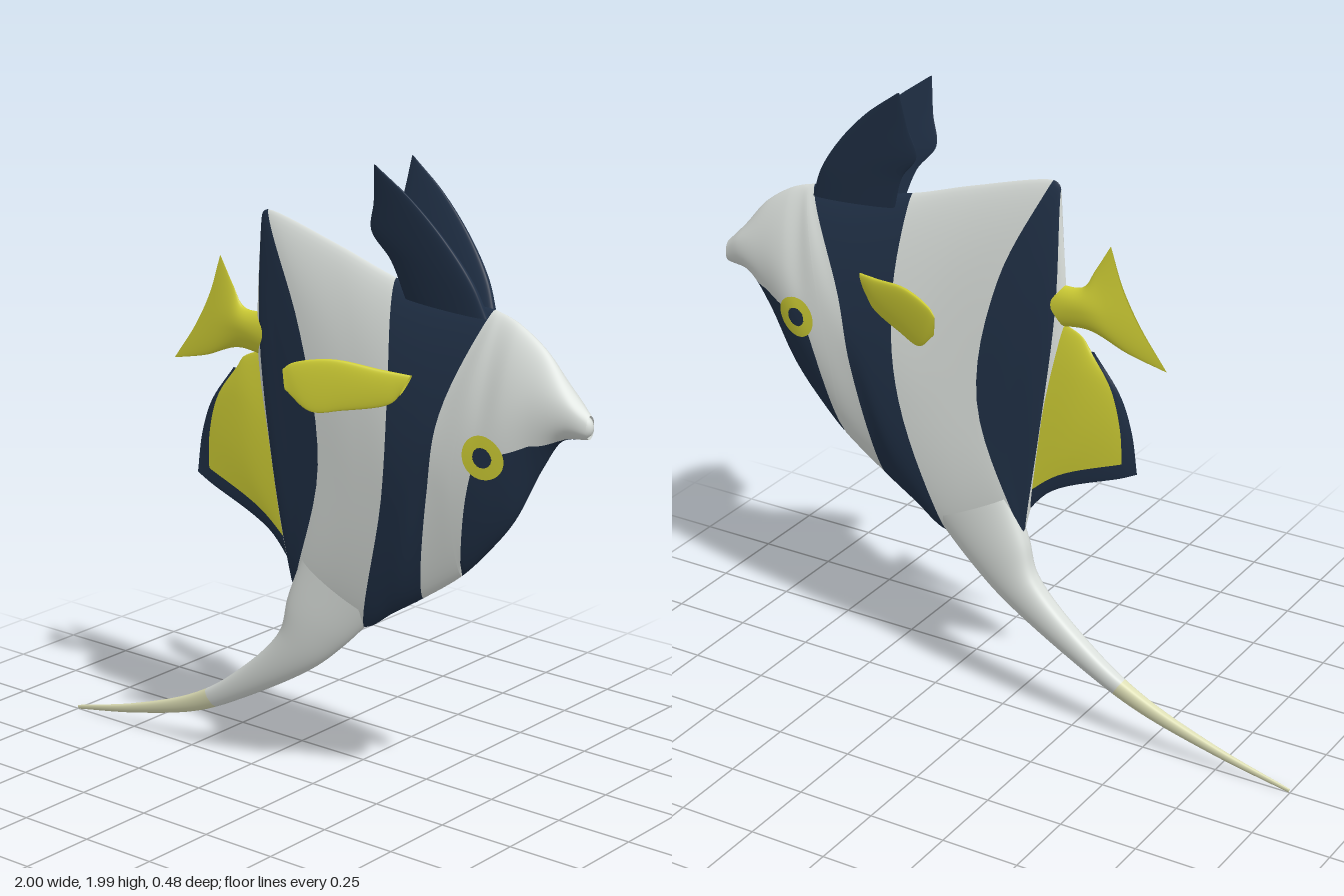
import * as THREE from 'three';

const paint = (name, color) => {
  const m = new THREE.MeshStandardMaterial({ color, side: THREE.DoubleSide });
  m.name = name;
  return m;
};

// Columns run down the model: [halfThickness, [x, y], [x, y], ...].
// Returns point(s, v): s counts columns, v goes 0 to 1 along a column, z is the half thickness.
function surface(cols) {
  const vec = (x, y, z) => new THREE.Vector3(x, y, z);
  const rails = cols[0].slice(1).map((_, r) =>
    new THREE.CatmullRomCurve3(cols.map(c => vec(c[r + 1][0], c[r + 1][1], c[0]))));
  return (s, v) => {
    const across = rails.map(r => r.getPoint(s / (cols.length - 1)));
    const p = new THREE.CatmullRomCurve3(across).getPoint(v);
    p.z = Math.max(0, p.z) * Math.pow(Math.max(0, Math.sin(Math.PI * v)), 0.6);
    return p;
  };
}

// Two-sided lens-like skin over part of a surface; offset bends its middle plane in z.
function patch(name, mat, point, [s0, s1], lo = 0, hi = 1, offset = () => 0) {
  const at = (f, s) => (typeof f === 'function' ? f(s) : f);
  const ns = Math.max(4, Math.ceil((s1 - s0) * 8)), nv = 28;
  const pos = [], idx = [];
  for (const side of [1, -1]) {
    const base = pos.length / 3;
    for (let i = 0; i <= ns; i++) {
      const s = s0 + (s1 - s0) * i / ns, a = at(lo, s), b = at(hi, s);
      for (let j = 0; j <= nv; j++) {
        const p = point(s, a + (b - a) * (1 - Math.cos(Math.PI * j / nv)) / 2);
        pos.push(p.x, p.y, offset(p) + side * p.z);
      }
    }
    for (let i = 0; i < ns; i++) for (let j = 0; j < nv; j++) {
      const a = base + i * (nv + 1) + j, b = a + nv + 1;
      if (side > 0) idx.push(a, b, a + 1, b, b + 1, a + 1);
      else idx.push(a, a + 1, b, b, a + 1, b + 1);
    }
  }
  const g = new THREE.BufferGeometry();
  g.setAttribute('position', new THREE.Float32BufferAttribute(pos, 3));
  g.setIndex(idx);
  g.computeVertexNormals();
  const mesh = new THREE.Mesh(g, mat);
  mesh.name = name;
  return mesh;
}

export function createModel() {
  const fish = new THREE.Group();
  fish.name = 'fish';
  const white = paint('white', 0xdbe0dc), navy = paint('navy', 0x203046);
  const yellow = paint('yellow', 0xd0cf35), cream = paint('cream', 0xdedfb6);

  // Body: columns follow the stripe edges from mouth to back
  const body = surface([
    [0.02, [0.99, 1.36], [0.99, 1.34], [0.99, 1.31], [0.99, 1.29]],
    [0.042, [0.92, 1.43], [0.93, 1.38], [0.92, 1.32], [0.90, 1.27]],
    [0.062, [0.84, 1.52], [0.83, 1.40], [0.82, 1.28], [0.83, 1.17]],
    [0.08, [0.75, 1.58], [0.74, 1.38], [0.73, 1.20], [0.74, 1.00]],
    [0.085, [0.70, 1.60], [0.67, 1.33], [0.64, 1.10], [0.65, 0.89]],
    [0.088, [0.68, 1.605], [0.62, 1.35], [0.57, 1.07], [0.56, 0.80]],
    [0.09, [0.66, 1.61], [0.53, 1.30], [0.49, 1.07], [0.42, 0.70]],
    [0.09, [0.48, 1.62], [0.44, 1.30], [0.40, 0.98], [0.31, 0.63]],
    [0.086, [0.31, 1.65], [0.34, 1.32], [0.32, 1.00], [0.20, 0.56]],
    [0.073, [0.10, 1.715], [0.20, 1.37], [0.20, 1.00], [0.06, 0.58]],
    [0.055, [-0.17, 1.785], [-0.01, 1.45], [0.06, 1.05], [-0.07, 0.62]],
    [0.04, [-0.19, 1.775], [-0.11, 1.42], [-0.04, 1.02], [-0.075, 0.63]],
    [0.022, [-0.195, 1.76], [-0.19, 1.40], [-0.14, 1.00], [-0.08, 0.64]],
    [0, [-0.195, 1.74], [-0.215, 1.36], [-0.17, 1.00], [-0.085, 0.66]],
  ]);
  const chin = [1, 0.97, 0.75, 0.64, 0.6, 1];
  const chinEdge = s => {
    const i = Math.min(4, Math.floor(s));
    return chin[i] + (chin[i + 1] - chin[i]) * (s - i);
  };
  const head = patch('head', white, body, [0, 5], 0, chinEdge);
  const throat = patch('throatStripe', navy, body, [0, 5], chinEdge, 1);
  fish.add(head, throat,
    patch('cheek', white, body, [5, 6]),
    patch('middleStripe', navy, body, [6, 8]),
    patch('flank', white, body, [8, 10]),
    patch('rearStripe', navy, body, [10, 12]),
    patch('backEdge', white, body, [12, 13]));

  // Lips
  const lips = new THREE.Mesh(new THREE.SphereGeometry(0.035, 20, 14), white);
  lips.name = 'lips';
  lips.scale.z = 0.65;
  lips.position.set(0.965, 1.325, 0);
  fish.add(lips);

  // Long trailing streamer
  const streamer = surface([
    [0.045, [-0.03, 0.74], [0.24, 0.60]],
    [0.046, [-0.085, 0.60], [0.12, 0.48]],
    [0.04, [-0.12, 0.48], [0.00, 0.38]],
    [0.028, [-0.33, 0.28], [-0.28, 0.215]],
    [0.018, [-0.50, 0.175], [-0.47, 0.125]],
    [0.01, [-0.75, 0.08], [-0.74, 0.05]],
    [0.003, [-1.00, 0.012], [-0.995, 0.0]],
  ]);
  fish.add(patch('streamer', white, streamer, [0, 3.6]),
    patch('streamerTip', cream, streamer, [3.6, 6]));

  // Tail fin
  const tail = surface([
    [0.025, [-0.16, 1.47], [-0.16, 1.43], [-0.16, 1.38], [-0.16, 1.33]],
    [0.022, [-0.27, 1.475], [-0.275, 1.44], [-0.28, 1.40], [-0.29, 1.345]],
    [0.012, [-0.31, 1.535], [-0.34, 1.46], [-0.37, 1.39], [-0.42, 1.30]],
    [0.003, [-0.36, 1.62], [-0.40, 1.50], [-0.46, 1.39], [-0.55, 1.27]],
  ]);
  fish.add(patch('tailFin', yellow, tail, [0, 3]));

  // Lower rear fin with a dark border
  const rear = surface([
    [0.02, [-0.17, 1.36], [-0.14, 1.15], [-0.11, 0.95], [-0.07, 0.68]],
    [0.02, [-0.27, 1.32], [-0.27, 1.20], [-0.25, 1.00], [-0.17, 0.79]],
    [0.008, [-0.30, 1.28], [-0.37, 1.18], [-0.405, 1.05], [-0.41, 0.895]],
    [0, [-0.31, 1.28], [-0.40, 1.16], [-0.44, 1.05], [-0.46, 0.92]],
  ]);
  fish.add(patch('rearFin', yellow, rear, [0, 2], 0, 0.9),
    patch('rearFinBorder', navy, rear, [2, 3], 0, 0.9),
    patch('rearFinLowerBorder', navy, rear, [0, 3], 0.9, 1));

  // Paired crest fins, side fins and eyes
  const crest = surface([
    [0.022, [0.65, 1.585], [0.36, 1.60]],
    [0.018, [0.61, 1.68], [0.32, 1.71]],
    [0.013, [0.53, 1.79], [0.26, 1.79]],
    [0.007, [0.42, 1.90], [0.28, 1.88]],
    [0.002, [0.305, 1.985], [0.295, 1.99]],
  ]);
  const sideFin = surface([
    [0.008, [0.44, 1.40], [0.41, 1.34]],
    [0.012, [0.36, 1.41], [0.38, 1.31]],
    [0.012, [0.22, 1.43], [0.25, 1.28]],
    [0.008, [0.11, 1.41], [0.16, 1.27]],
    [0.002, [0.085, 1.39], [0.09, 1.33]],
  ]);
  // Thin eye plates laid onto the curved head
  fish.updateMatrixWorld(true);
  const ray = new THREE.Raycaster();
  const eyePlate = (name, geo, mat, lift) => {
    geo.translate(0.685, 1.2, 0);
    const p = geo.attributes.position;
    for (let i = 0; i < p.count; i++) {
      ray.set(new THREE.Vector3(p.getX(i), p.getY(i), 1), new THREE.Vector3(0, 0, -1));
      const hit = ray.intersectObjects([head, throat])[0];
      p.setZ(i, (hit ? hit.point.z : 0.06) + lift);
    }
    geo.computeVertexNormals();
    const mesh = new THREE.Mesh(geo, mat);
    mesh.name = name;
    return mesh;
  };
  const left = new THREE.Group();
  left.name = 'nearSidePair';
  left.add(
    patch('crestFin', navy, crest, [0, 4], 0, 1, p => 0.022 + (p.y - 1.6) * 0.17),
    patch('sideFin', yellow, sideFin, [0, 4], 0, 1, p => 0.095 + (0.44 - p.x) * 0.41),
    eyePlate('eyeRing', new THREE.RingGeometry(0.03, 0.066, 32, 3), yellow, 0.006),
    eyePlate('pupil', new THREE.CircleGeometry(0.031, 24), navy, 0.006));
  const right = left.clone();
  right.name = 'farSidePair';
  right.scale.z = -1;
  fish.add(left, right);
  return fish;
}
